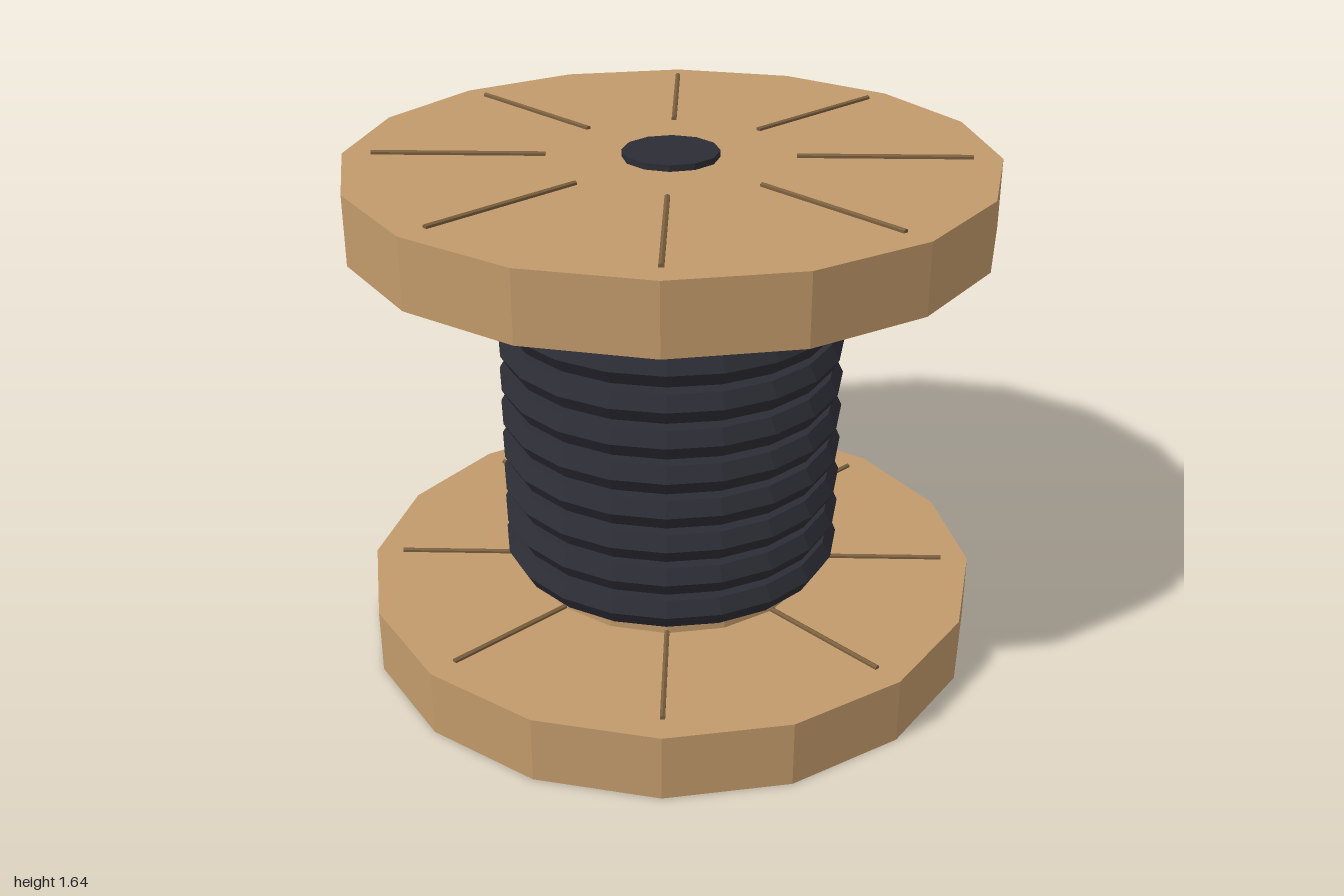
import * as THREE from 'three';

export function createModel() {
  const mat = (name, color) =>
    Object.assign(new THREE.MeshStandardMaterial({ color, flatShading: true }), { name });
  const wood = mat('wood', 0xc19a6b);
  const groove = mat('darkWood', 0x7a5f3e);
  const cable = mat('cable', 0x2c2c35);

  const spool = new THREE.Group();
  spool.name = 'cableSpool';

  const add = (parent, name, geometry, material, y = 0) => {
    const mesh = new THREE.Mesh(geometry, material);
    mesh.name = name;
    mesh.position.y = y;
    parent.add(mesh);
    return mesh;
  };

  // End discs, each with eight thin radial strips on its upper face
  const thickness = 0.215;
  const discGeo = new THREE.CylinderGeometry(1, 1, thickness, 16);
  const stripGeo = new THREE.CylinderGeometry(0.009, 0.009, 0.53, 6);
  stripGeo.rotateX(Math.PI / 2).translate(0, 0, 0.645);
  for (const [name, base] of [['bottomFlange', 0], ['topFlange', 1.405]]) {
    const flange = new THREE.Group();
    flange.name = name;
    flange.position.y = base;
    add(flange, 'disc', discGeo, wood, thickness / 2);
    for (let i = 0; i < 8; i++) {
      add(flange, 'radialStrip', stripGeo, groove, thickness + 0.003).rotation.y = i * Math.PI / 4;
    }
    spool.add(flange);
  }

  // Central drum between the discs
  add(spool, 'drum', new THREE.CylinderGeometry(0.47, 0.47, 1.19, 16, 1, true), wood, 0.81);

  // Stacked cable turns with a hexagonal section
  const turnGeo = new THREE.TorusGeometry(0.497, 0.054, 6, 20).rotateX(Math.PI / 2);
  for (let i = 0; i < 8; i++) {
    add(spool, 'cableTurn', turnGeo, cable, 0.322 + i * 0.1174);
  }

  // Axle cap on top
  add(spool, 'axleCap', new THREE.CylinderGeometry(0.15, 0.15, 0.04, 12), cable, 1.62);

  return spool;
}
